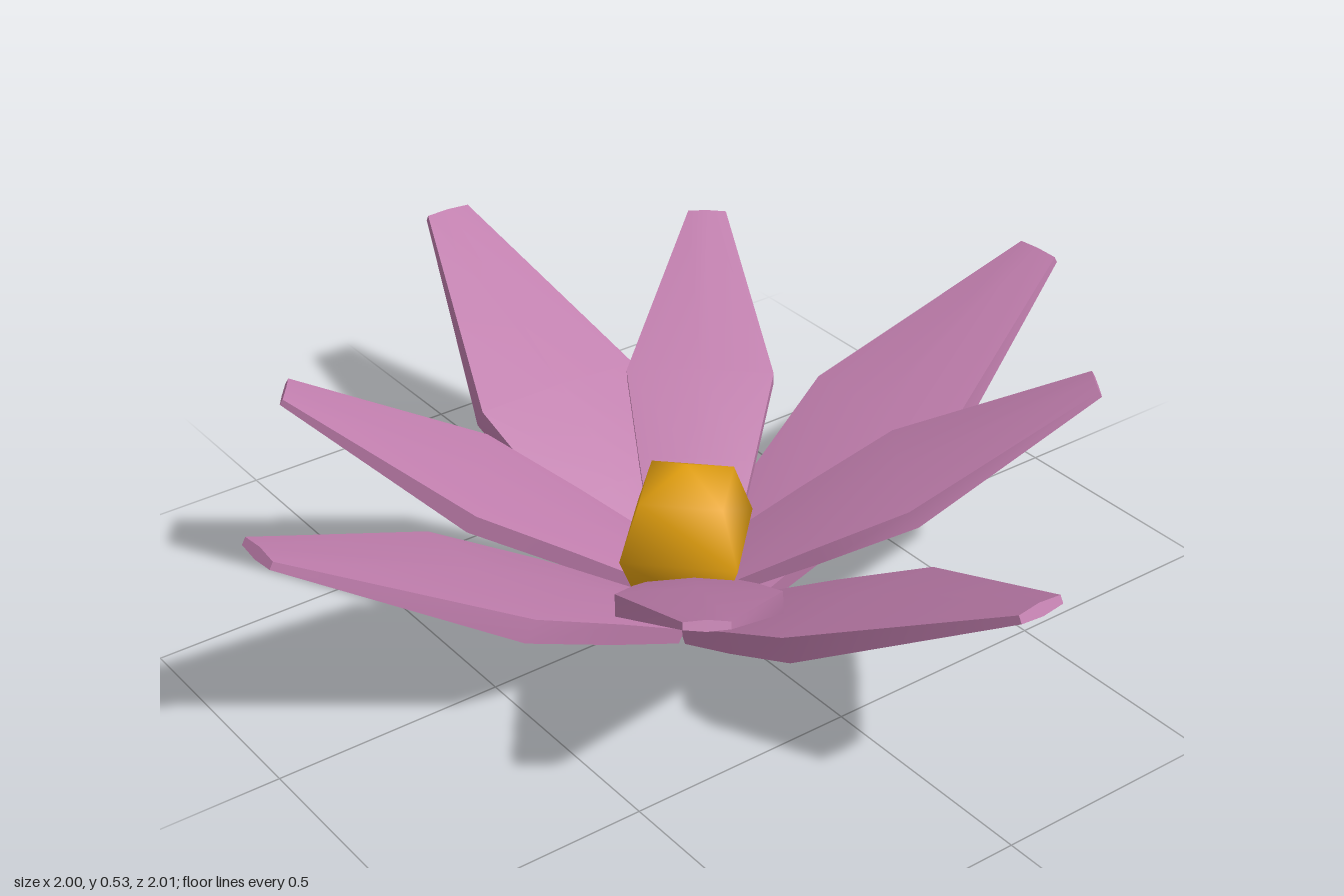
import * as THREE from 'three';
import { toCreasedNormals } from 'three/addons/utils/BufferGeometryUtils.js';

// Petal lying along +x: hexagonal cross-sections [distance, half width, half thickness]
function petalGeometry() {
  const sections = [
    [0, 0.11, 0.025],
    [0.22, 0.15, 0.036],
    [0.49, 0.196, 0.04],
    [1.02, 0.052, 0.013],
  ];
  const outline = [[1, 0], [0.65, 1], [-0.65, 1], [-1, 0], [-0.65, -1], [0.65, -1]];
  const n = outline.length;
  const positions = [];
  const index = [];
  for (const [x, w, t] of sections) {
    for (const [y, z] of outline) positions.push(x, y * t, z * w);
  }
  for (let i = 0; i < sections.length - 1; i++) {
    for (let j = 0; j < n; j++) {
      const a = i * n + j, b = i * n + ((j + 1) % n);
      index.push(a, b, a + n, b, b + n, a + n);
    }
  }
  // End caps
  const last = (sections.length - 1) * n;
  for (let j = 1; j < n - 1; j++) {
    index.push(0, j + 1, j);
    index.push(last, last + j, last + j + 1);
  }
  const geometry = new THREE.BufferGeometry();
  geometry.setAttribute('position', new THREE.Float32BufferAttribute(positions, 3));
  geometry.setIndex(index);
  return toCreasedNormals(geometry, THREE.MathUtils.degToRad(45));
}

export function createModel() {
  const flower = new THREE.Group();
  flower.name = 'flower';

  const petalPink = new THREE.MeshStandardMaterial({ color: 0xbf7dac });
  petalPink.name = 'petal pink';
  const centreGold = new THREE.MeshStandardMaterial({ color: 0xe3a010 });
  centreGold.name = 'centre gold';

  const geometry = petalGeometry();

  // Angles are measured from +x towards +z
  function addPetals(name, angles, radius, height, scale) {
    for (const angle of angles) {
      const arm = new THREE.Group();
      arm.name = name;
      arm.rotation.y = -THREE.MathUtils.degToRad(angle);
      const petal = new THREE.Mesh(geometry, petalPink);
      petal.name = 'petal';
      petal.position.set(radius, height, 0);
      petal.rotation.z = THREE.MathUtils.degToRad(29.4);
      petal.scale.setScalar(scale);
      arm.add(petal);
      flower.add(arm);
    }
  }

  // Lower ring of long petals, upper ring of shorter ones between them
  addPetals('outerPetal', [-1.7, 90, 182.6, 267.9], 0.108, 0.022, 1);
  addPetals('innerPetal', [35, 127, 219.3, 304.5], 0.09, 0.105, 0.83);

  // Four-sided rounded centre
  const centre = new THREE.Mesh(new THREE.SphereGeometry(0.174, 4, 4), centreGold);
  centre.name = 'centre';
  centre.position.set(0.01, 0.187, 0.02);
  flower.add(centre);

  return flower;
}
